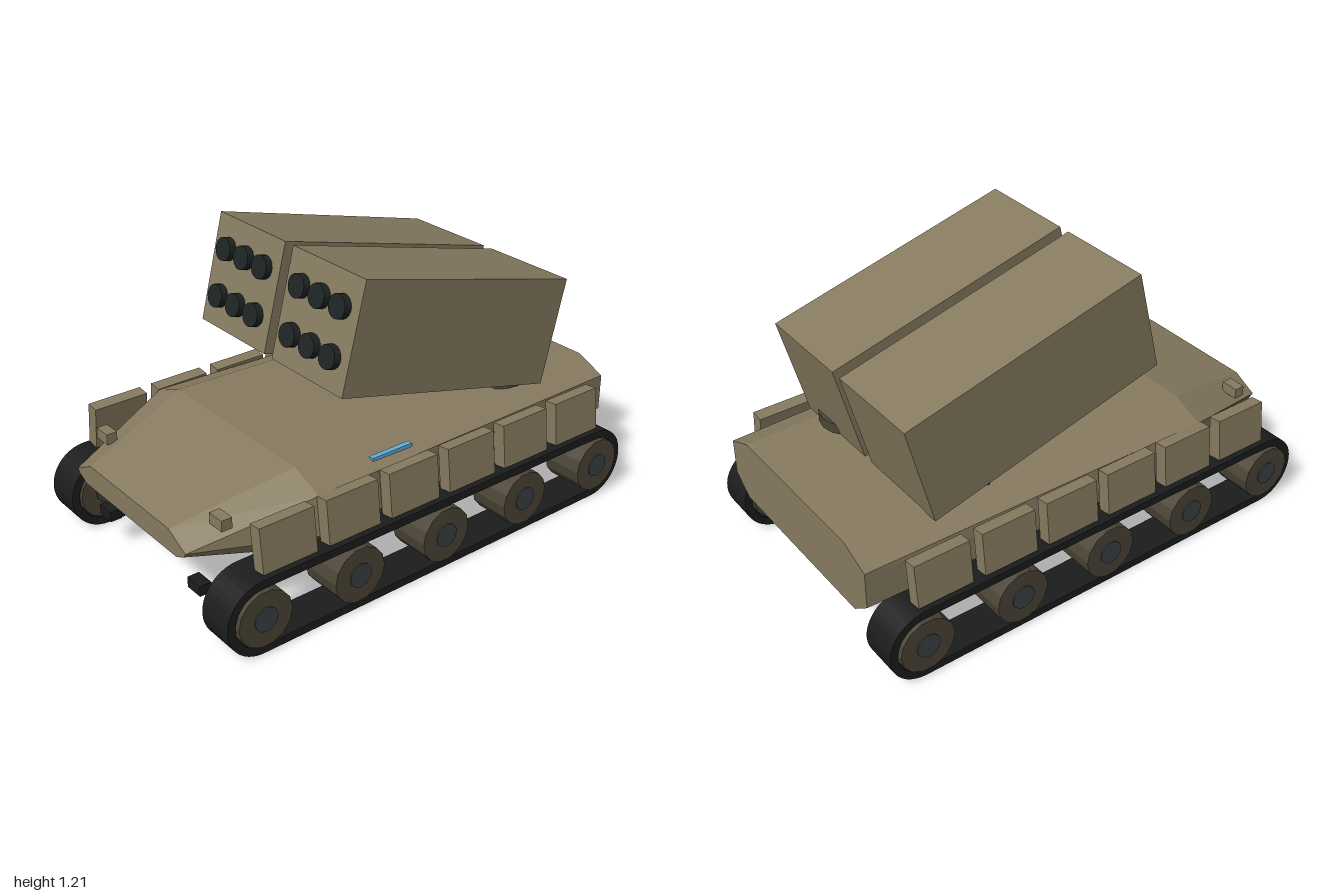
import * as THREE from 'three';

const mat = (color) => new THREE.MeshStandardMaterial({ color, flatShading: true });

// Hull: eight-cornered cross-sections joined from the stern to the nose
function hullGeometry() {
  // [z, then right-half corners from bottom to top as x, y]
  const sections = [
    [-1, 0.40, 0.24, 0.49, 0.31, 0.49, 0.465, 0.36, 0.52],
    [0.53, 0.45, 0.22, 0.545, 0.32, 0.53, 0.48, 0.39, 0.535],
    [1, 0.32, 0.31, 0.37, 0.335, 0.38, 0.352, 0.275, 0.405],
  ];
  const rings = sections.map(([z, ...p]) => {
    const half = [0, 2, 4, 6].map((i) => [p[i], p[i + 1], z]);
    return [...half, ...half.slice().reverse().map(([x, y]) => [-x, y, z])];
  });
  const pos = [];
  const tri = (a, b, c) => pos.push(...a, ...b, ...c);
  for (let i = 0; i < rings.length - 1; i++) {
    for (let j = 0; j < 8; j++) {
      const k = (j + 1) % 8;
      tri(rings[i][j], rings[i][k], rings[i + 1][k]);
      tri(rings[i][j], rings[i + 1][k], rings[i + 1][j]);
    }
  }
  const back = rings[0], front = rings[rings.length - 1];
  for (let j = 1; j < 7; j++) {
    tri(front[0], front[j], front[j + 1]);
    tri(back[0], back[j + 1], back[j]);
  }
  const g = new THREE.BufferGeometry();
  g.setAttribute('position', new THREE.Float32BufferAttribute(pos, 3));
  g.computeVertexNormals();
  return g;
}

// Track: hollow stadium loop, extruded across the width
function trackGeometry(width) {
  const loop = (target, r) => {
    target.absarc(0.845, 0, r, -Math.PI / 2, Math.PI / 2, false);
    target.absarc(-0.845, 0, r, Math.PI / 2, Math.PI * 1.5, false);
    target.closePath();
    return target;
  };
  const shape = loop(new THREE.Shape(), 0.152);
  shape.holes.push(loop(new THREE.Path(), 0.119));
  const g = new THREE.ExtrudeGeometry(shape, { depth: width, bevelEnabled: false, curveSegments: 10 });
  g.translate(0, 0, -width / 2);
  g.rotateY(-Math.PI / 2);
  return g;
}

export function createModel() {
  const model = new THREE.Group();
  const tan = mat(0x877b60), wheelMat = mat(0x4c4637), hubMat = mat(0x3c4245);
  const black = mat(0x1b1d1c), tubeMat = mat(0x1e2423), glass = mat(0x62acd6);

  const add = (parent, name, geometry, material, x = 0, y = 0, z = 0) => {
    const m = new THREE.Mesh(geometry, material);
    m.name = name;
    m.position.set(x, y, z);
    parent.add(m);
    return m;
  };
  const box = (w, h, d) => new THREE.BoxGeometry(w, h, d);

  add(model, 'hull', hullGeometry(), tan);

  const trackGeo = trackGeometry(0.156);
  const wheelGeo = new THREE.CylinderGeometry(0.115, 0.115, 0.178, 14).rotateZ(Math.PI / 2);
  const hubGeo = new THREE.CylinderGeometry(0.05, 0.05, 0.188, 12).rotateZ(Math.PI / 2);
  const skirtGeo = box(0.056, 0.18, 0.236);
  const tubeGeo = new THREE.CylinderGeometry(0.047, 0.047, 0.06, 18).rotateX(Math.PI / 2);

  for (const s of [1, -1]) {
    const side = s > 0 ? 'left' : 'right';

    // Running gear
    const gear = new THREE.Group();
    gear.name = side + 'RunningGear';
    model.add(gear);
    add(gear, 'track', trackGeo, black, s * 0.543, 0.152, 0);
    for (let i = -2; i <= 2; i++) {
      add(gear, 'roadWheel', wheelGeo, wheelMat, s * 0.546, 0.154, i * 0.4225);
      add(gear, 'wheelHub', hubGeo, hubMat, s * 0.546, 0.154, i * 0.4225);
    }

    // Tilted side skirt panels
    for (let i = 0; i < 6; i++) {
      const panel = add(model, side + 'SkirtPanel', skirtGeo, tan, s * 0.566, 0.397, 0.71 - i * 0.29);
      panel.rotation.z = s * 0.11;
    }

    // Headlight and tow hook
    add(model, side + 'Headlight', box(0.076, 0.045, 0.045), tan, s * 0.393, 0.442, 0.857);
    add(model, side + 'TowHook', box(0.08, 0.043, 0.05), black, s * 0.315, 0.152, 0.91);

    // Raised launcher pod with two rows of three tubes
    const pod = new THREE.Group();
    pod.name = side + 'LauncherPod';
    pod.position.set(s * 0.236, 0.861, -0.2125);
    pod.rotation.x = -0.251;
    model.add(pod);
    add(pod, 'podCasing', box(0.423, 0.444, 1.068), tan);
    for (const row of [-0.095, 0.095]) {
      for (const col of [-1, 0, 1]) {
        add(pod, 'launchTube', tubeGeo, tubeMat, col * 0.119, row, 0.534);
      }
    }
  }

  // Deck fittings
  add(model, 'hatch', new THREE.CylinderGeometry(0.132, 0.132, 0.045, 16), wheelMat, 0.283, 0.543, -0.575);
  add(model, 'hatchPeriscope', box(0.022, 0.045, 0.02), black, 0.283, 0.545, -0.445);
  add(model, 'antenna', new THREE.CylinderGeometry(0.007, 0.007, 0.3, 8), black, -0.387, 0.66, -0.4);
  for (let i = 0; i < 9; i++) {
    add(model, 'engineGrilleSlat', box(0.4, 0.02, 0.018), black, 0, 0.525, -0.39 - i * 0.0315);
  }
  add(model, 'visionStrip', box(0.022, 0.016, 0.19), glass, 0.47, 0.498, 0.145);

  return model;
}
